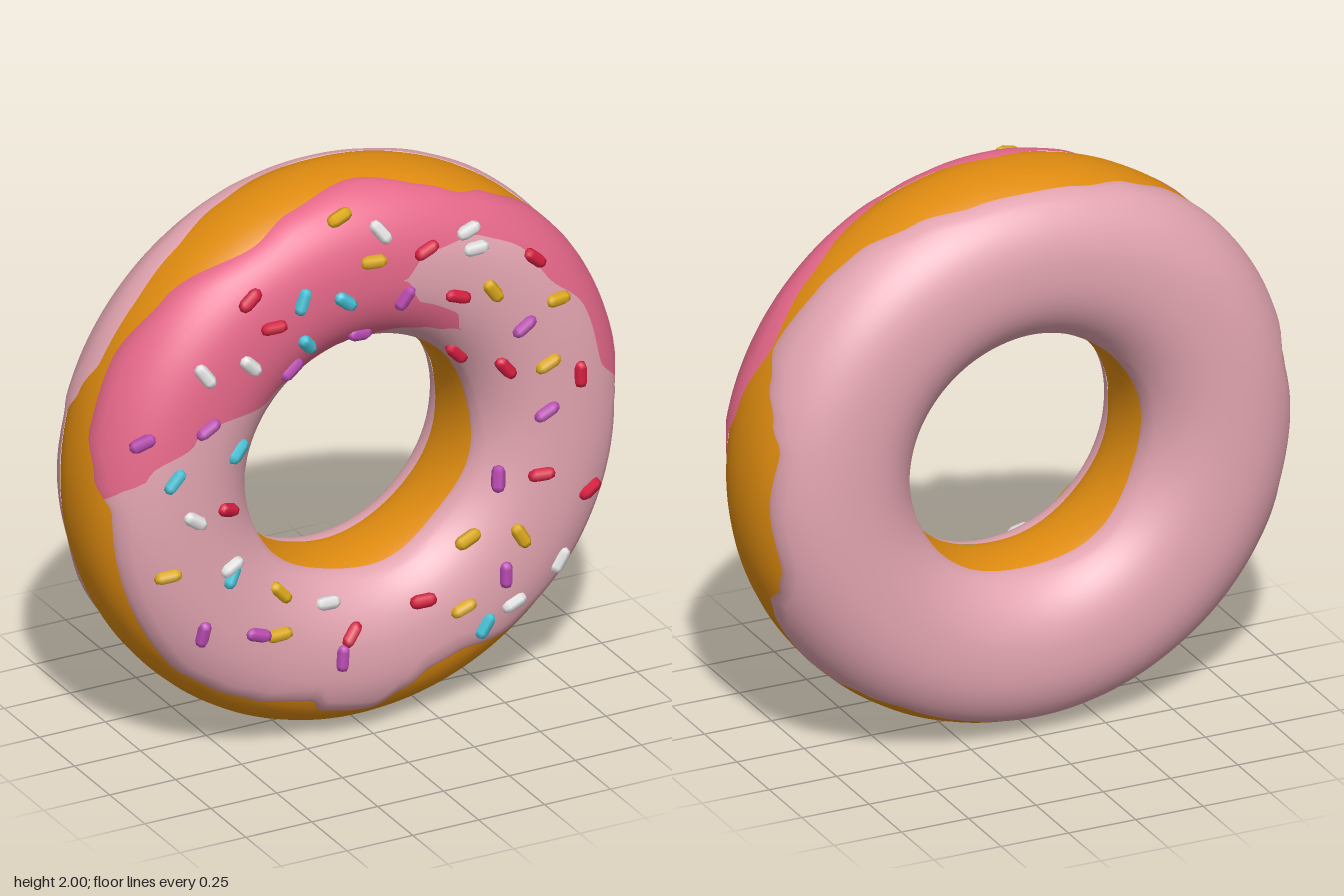
import * as THREE from 'three';

const RING = 0.71, TUBE = 0.29, POW = 0.87, ICING = 0.015;
const rad = THREE.MathUtils.degToRad, deg = THREE.MathUtils.radToDeg;

const mat = (name, color) => Object.assign(new THREE.MeshStandardMaterial({ color }), { name });

// Edge tables: [angle around ring, angle around tube], in degrees
const FRONT_EDGE = [[0, 40], [4, 35], [15, 13], [30, 0], [45, 7], [60, 22], [68, 31], [75, 27], [90, 14],
  [105, 24], [115, 33], [135, 13], [150, 3], [165, 6], [173, 18], [180, 36], [220, 36], [230, 44], [240, 52],
  [250, 61], [254, 63], [258, 52], [270, 47], [277, 60], [285, 71], [292, 71], [307, 50], [330, 42], [360, 40]];
const BACK_EDGE = [[0, 32], [12, 36], [17, 25], [24, 11], [30, 1], [45, 5], [54, 8], [66, 19], [78, 29], [90, 31],
  [102, 29], [114, 19], [127, 8], [140, 4], [152, 4], [160, 15], [168, 36], [180, 30], [195, 34], [205, 21],
  [215, 24], [240, 34], [285, 38], [300, 36], [310, 26], [315, 15], [323, 7], [330, 6], [337, 13], [341, 28],
  [346, 36], [360, 32]];
// Borders of the two pinks: [angle around ring, radius from the centre]
const DARK_OUTER = [[0, 1], [3, 0.95], [13, 0.87], [27, 0.89], [40, 0.85], [51, 0.875], [62, 0.86],
  [76, 0.79], [82, 0.69], [177, 0.69], [178, 1], [360, 1]];
const TONGUE_TOP = [[0, 0.55], [53, 0.55], [60, 0.6], [74, 0.61], [82, 0.69], [360, 0.69]];
const TONGUE_LOW = [[0, 0.55], [53, 0.55], [62, 0.52], [73, 0.5], [90, 0.47], [110, 0.446], [140, 0.52],
  [160, 0.743], [170, 0.863], [176, 0.95], [178, 1], [360, 1]];

function lookup(table, a) {
  const i = Math.max(1, table.findIndex(p => p[0] >= a));
  const [a0, v0] = table[i - 1], [a1, v1] = table[i];
  const t = (a - a0) / (a1 - a0);
  return v0 + (v1 - v0) * t * t * (3 - 2 * t);
}

const signedPow = (v, p) => Math.sign(v) * Math.abs(v) ** p;

// Tube angle on the front half that lies at a given radius
function tubeAngle(r) {
  const u = THREE.MathUtils.clamp((r - RING) / TUBE, -1, 1);
  return deg(Math.acos(signedPow(u, 1 / POW)));
}

// Point on the slightly boxy ring, raised by `lift`
function ringPoint(a, p, lift = 0) {
  const c = Math.cos(rad(p)), s = Math.sin(rad(p));
  const r = RING + (TUBE + lift) * signedPow(c, POW);
  const z = ((s > 0 ? 0.28 : 0.303) + lift) * signedPow(s, POW);
  return new THREE.Vector3(r * Math.cos(rad(a)), r * Math.sin(rad(a)), z);
}

function ringNormal(a, p, liftAt = () => 0) {
  const e = 1.5;
  const at = (x, y) => ringPoint(x, y, liftAt(a, y));
  const du = at(a + e, p).sub(at(a - e, p));
  const dv = at(a, p + e).sub(at(a, p - e));
  return du.cross(dv).normalize();
}

// Strip of the ring's skin between two edges
function band(name, material, lo, hi, rows, liftAt) {
  const cols = 240, pos = [], nor = [], idx = [];
  for (let i = 0; i <= cols; i++) {
    const a = (i / cols) * 360, l = lo(a), h = hi(a);
    for (let j = 0; j <= rows; j++) {
      const p = l + (h - l) * (j / rows);
      pos.push(...ringPoint(a, p, liftAt ? liftAt(a, p) : 0));
      nor.push(...ringNormal(a, p, liftAt));
    }
    if (i === cols) continue;
    const a2 = ((i + 1) / cols) * 360;
    if (h - l < 0.01 && hi(a2) - lo(a2) < 0.01) continue;
    for (let j = 0; j < rows; j++) {
      const k = i * (rows + 1) + j, n = k + rows + 1;
      idx.push(k, n, n + 1, k, n + 1, k + 1);
    }
  }
  const g = new THREE.BufferGeometry();
  g.setAttribute('position', new THREE.Float32BufferAttribute(pos, 3));
  g.setAttribute('normal', new THREE.Float32BufferAttribute(nor, 3));
  g.setIndex(idx);
  const mesh = new THREE.Mesh(g, material);
  mesh.name = name;
  return mesh;
}

// Icing swells quickly from its edges to full thickness
const swell = (lo, hi) => (a, p) => {
  const d = Math.min(p - lo(a), hi(a) - p);
  return 0.001 + ICING * Math.sqrt(THREE.MathUtils.clamp(d / 12, 0, 1));
};

export function createModel() {
  const model = new THREE.Group();
  model.name = 'doughnut';
  const ring = new THREE.Group();
  ring.name = 'ring';
  ring.position.y = 1;
  model.add(ring);

  const dough = mat('dough', 0xe08c10);
  const palePink = mat('palePinkIcing', 0xe2a4b0);
  const deepPink = mat('deepPinkIcing', 0xe6688a);

  ring.add(band('dough', dough, () => 0, () => 360, 40));

  // Back icing
  const backLo = a => 202 + 2 * Math.sin(rad(a * 5));
  const backHi = a => 360 - lookup(BACK_EDGE, a);
  ring.add(band('backIcing', palePink, backLo, backHi, 28, swell(backLo, backHi)));

  // Front icing: deep pink cap with a tongue, pale pink below
  const outer = a => lookup(FRONT_EDGE, a);
  const inner = a => 158 + 2 * Math.sin(rad(a * 6));
  const capEdge = a => Math.max(outer(a), Math.min(tubeAngle(lookup(DARK_OUTER, a)),
    a > 82 ? tubeAngle(lookup(TONGUE_LOW, a)) : 180));
  const tongueTop = a => (a >= 82 ? capEdge(a) : Math.max(capEdge(a), tubeAngle(lookup(TONGUE_TOP, a))));
  const tongueLow = a => Math.max(tongueTop(a), tubeAngle(lookup(TONGUE_LOW, a)));
  const lift = swell(outer, inner);
  ring.add(band('deepIcingCap', deepPink, outer, capEdge, 12, lift));
  ring.add(band('paleIcingPatch', palePink, capEdge, tongueTop, 12, lift));
  ring.add(band('deepIcingTongue', deepPink, tongueTop, tongueLow, 12, lift));
  ring.add(band('paleIcing', palePink, tongueLow, inner, 24, lift));

  // Sprinkles: [x, y, turn in degrees]
  const sprinkles = {
    red: [0xd81e40, [[-0.47, 1.72, 40], [-0.4, 1.62, 0], [0.18, 1.77, 20], [0.6, 1.63, -40], [0.3, 1.58, -20],
      [0.35, 1.33, -45], [0.5, 1.26, -50], [0.76, 1.18, 90], [0.62, 0.84, 0], [0.8, 0.74, 20],
      [0.18, 0.455, 0], [-0.1, 0.4, 50], [-0.57, 0.97, -20]]],
    yellow: [0xe0ac1c, [[-0.11, 1.92, 25], [-0.02, 1.775, -5], [0.43, 1.57, -55], [0.68, 1.47, 0],
      [0.64, 1.25, 25], [0.54, 0.63, -60], [0.37, 0.63, 25], [-0.36, 0.6, -50], [-0.38, 0.47, 0],
      [-0.79, 0.78, 10], [0.32, 0.41, 20]]],
    blue: [0x48c4d8, [[-0.29, 1.69, 70], [-0.13, 1.66, -40], [-0.27, 1.53, -50], [-0.53, 1.18, 40],
      [-0.77, 1.13, 50], [-0.56, 0.73, 60], [0.4, 0.33, 60]]],
    white: [0xececec, [[0.02, 1.86, -60], [0.35, 1.79, 15], [0.37, 1.73, 0], [-0.65, 1.49, -55],
      [-0.49, 1.5, -45], [-0.7, 0.97, -35], [-0.56, 0.76, 20], [-0.17, 0.51, 0], [0.69, 0.5, 60],
      [0.51, 0.39, 20]]],
    purple: [0xbc4cb4, [[0.1, 1.62, 60], [-0.04, 1.5, -20], [-0.32, 1.44, 45], [0.55, 1.41, 35],
      [-0.86, 1.27, 20], [-0.65, 1.3, 30], [0.64, 1.07, 30], [0.49, 0.83, 90], [0.48, 0.5, 90],
      [-0.46, 0.49, -20], [-0.66, 0.54, 80], [-0.14, 0.33, 85]]],
  };
  const grain = new THREE.CapsuleGeometry(0.024, 0.05, 2, 6).rotateZ(Math.PI / 2);
  for (const [name, [color, spots]] of Object.entries(sprinkles)) {
    const material = mat(name + 'Sprinkle', color);
    for (const [x, y, turn] of spots) {
      const a = (deg(Math.atan2(y - 1, x)) + 360) % 360;
      const p = tubeAngle(Math.hypot(x, y - 1));
      const n = ringNormal(a, p);
      const along = new THREE.Vector3(Math.cos(rad(turn)), Math.sin(rad(turn)), 0);
      along.addScaledVector(n, -along.dot(n)).normalize();
      const mesh = new THREE.Mesh(grain, material);
      mesh.name = name + 'Sprinkle';
      mesh.quaternion.setFromRotationMatrix(
        new THREE.Matrix4().makeBasis(along, n.clone().cross(along), n));
      mesh.position.copy(ringPoint(a, p, ICING)).addScaledVector(n, 0.002);
      ring.add(mesh);
    }
  }
  return model;
}
